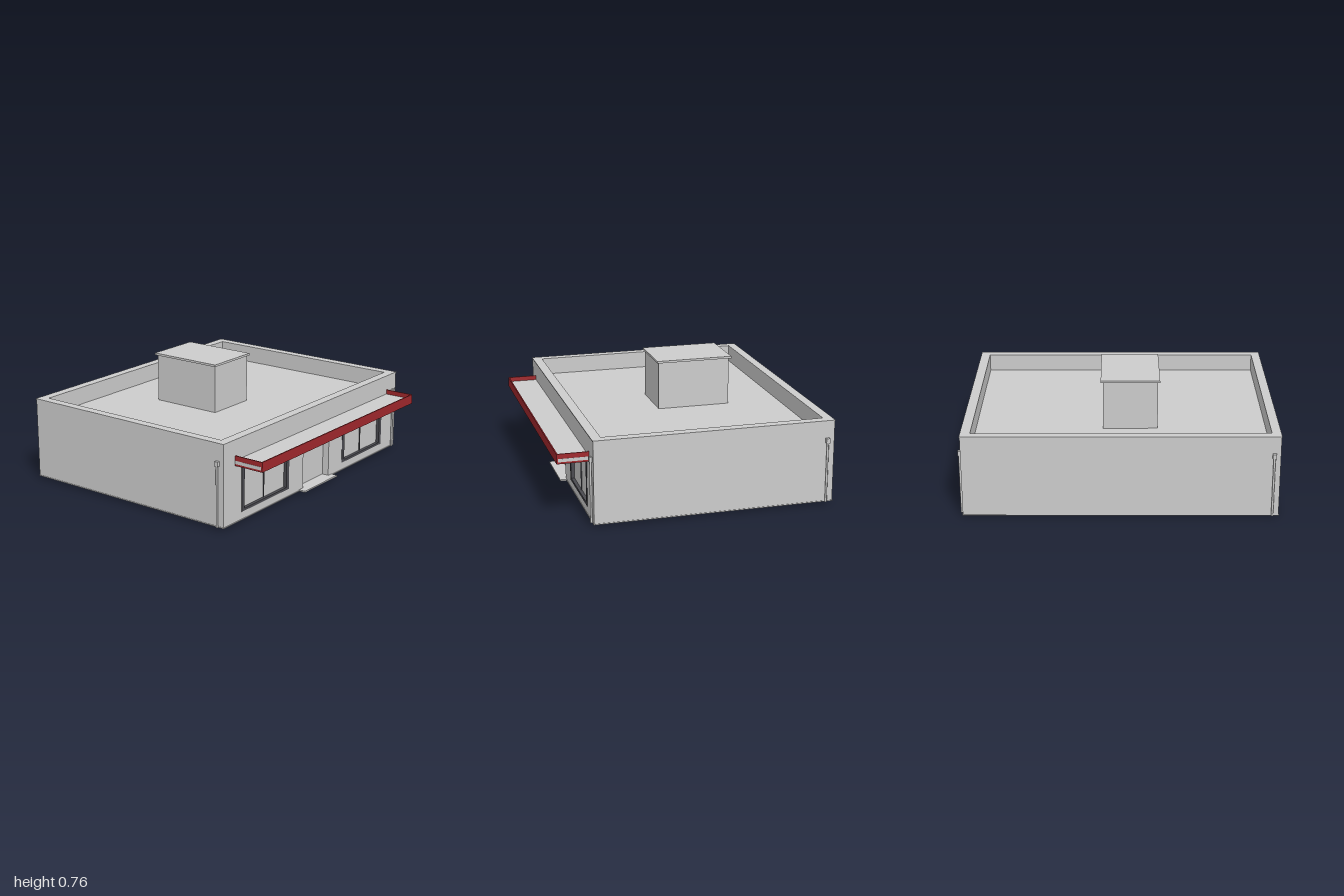
import * as THREE from 'three';

export function createModel() {
  const model = new THREE.Group();
  model.name = 'flatRoofBuilding';

  const mat = (name, color) => {
    const m = new THREE.MeshStandardMaterial({ color });
    m.name = name;
    return m;
  };
  const grey = mat('pale grey', 0xcccccc);
  const red = mat('canopy red', 0xa0282c);
  const dark = mat('frame charcoal', 0x4a4a50);

  const add = (name, geometry, material, parent = model) => {
    const mesh = new THREE.Mesh(geometry, material);
    mesh.name = name;
    parent.add(mesh);
    return mesh;
  };
  // Box given by its limits on each axis
  const box = (name, x0, x1, y0, y1, z0, z1, material = grey, parent = model) => {
    const g = new THREE.BoxGeometry(x1 - x0, y1 - y0, z1 - z0);
    g.translate((x0 + x1) / 2, (y0 + y1) / 2, (z0 + z1) / 2);
    return add(name, g, material, parent);
  };
  const rect = (Type, x0, x1, y0, y1) => new Type([
    new THREE.Vector2(x0, y0), new THREE.Vector2(x1, y0),
    new THREE.Vector2(x1, y1), new THREE.Vector2(x0, y1),
  ]);
  // Flat rectangular plate with rectangular holes, facing +z
  const plate = (outer, holes, depth) => {
    const shape = rect(THREE.Shape, ...outer);
    holes.forEach((h) => shape.holes.push(rect(THREE.Path, ...h)));
    return new THREE.ExtrudeGeometry(shape, { depth, bevelEnabled: false });
  };

  const L = -0.981, R = 0.977, F = 0.672, B = -0.854;   // outer wall faces
  const iL = -0.926, iR = 0.918, iF = 0.613, iB = -0.797; // inner wall faces
  const base = 0.014, wallTop = 0.538, top = 0.544;

  // Plinth, floor and roof deck
  box('plinth', -0.93, 0.925, 0, base, -0.803, 0.622);
  box('floorSlab', L - 0.003, R + 0.003, base, 0.02, B - 0.003, F + 0.003);
  box('roofDeck', iL, iR, 0.41, 0.43, iB, iF);

  // Walls; the front one is pierced for the door and windows
  const windows = [[-0.803, -0.308, 0.067, 0.385], [0.304, 0.799, 0.067, 0.385]];
  const door = [-0.15, 0.145, 0.024, 0.353];
  const front = add('frontWall', plate([L, R, 0.02, wallTop], [...windows, door], F - iF), grey);
  front.position.z = iF;
  box('backWall', L, R, 0.02, wallTop, B, iB);
  box('leftWall', iR, R, 0.02, wallTop, iB, iF);
  box('rightWall', L, iL, 0.02, wallTop, iB, iF);

  // Parapet coping ring
  const coping = plate([L - 0.003, R + 0.003, -F - 0.003, -B + 0.003], [[iL, iR, -iF, -iB]], top - wallTop);
  coping.rotateX(-Math.PI / 2);
  coping.translate(0, wallTop, 0);
  add('parapetCoping', coping, grey);

  // Windows: charcoal frame, two panes and a thin centre bar
  windows.forEach(([x0, x1, y0, y1], i) => {
    const g = new THREE.Group();
    g.name = i ? 'leftWindow' : 'rightWindow';
    model.add(g);
    const frame = add('windowFrame',
      plate([x0, x1, y0, y1], [[x0 + 0.028, x1 - 0.028, y0 + 0.016, y1 - 0.018]], 0.03), dark, g);
    frame.position.z = F - 0.028;
    box('windowPanes', x0 + 0.01, x1 - 0.01, y0 + 0.005, y1 - 0.005, F - 0.03, F - 0.02, grey, g);
    const c = (x0 + x1) / 2;
    box('windowBar', c - 0.003, c + 0.003, y0 + 0.01, y1 - 0.01, F - 0.022, F - 0.014, dark, g);
  });

  // Recessed door and its step
  box('door', door[0], door[1], door[2], door[3], iF, F - 0.045);
  box('doorStep', -0.19, 0.182, base, 0.024, F - 0.04, 0.716);

  // Canopy: slab with a red fascia on three sides
  const canopy = new THREE.Group();
  canopy.name = 'canopy';
  model.add(canopy);
  const cx = 0.868, cz = 0.87, t = 0.008, y0 = 0.379, y1 = 0.442;
  box('canopySlab', -cx - 0.001, cx - 0.001, 0.391, 0.412, F - 0.01, cz - t, grey, canopy);
  box('frontFascia', -cx, cx - 0.002, y0, y1, cz - t, cz, red, canopy);
  [-cx, cx - 0.002 - t].forEach((x) => {
    box('sideFasciaUpper', x, x + t, 0.412, y1, F, cz - t, red, canopy);
    box('sideFasciaLower', x, x + t, y0, 0.391, F, cz - t, red, canopy);
  });

  // Rooftop hut with overhanging lid
  box('roofHut', -0.238, 0.109, 0.43, 0.743, -0.45, 0.031);
  box('roofHutLid', -0.251, 0.123, 0.743, 0.757, -0.464, 0.043);

  // Downpipes with square hoppers, one on each side
  const pipes = [[0.935, 0.68], [0.987, -0.808], [-0.941, -0.861], [-0.99, 0.63]];
  pipes.forEach(([x, z]) => {
    const g = new THREE.Group();
    g.name = 'downpipe';
    model.add(g);
    const pipe = add('pipe', new THREE.CylinderGeometry(0.007, 0.007, 0.39, 12), grey, g);
    pipe.position.set(x, 0.21, z);
    const onSide = Math.abs(x) > 0.96;
    const hx = onSide ? 0.01 : 0.012, hz = onSide ? 0.012 : 0.01;
    box('hopper', x - hx, x + hx, 0.402, 0.432, z - hz, z + hz, grey, g);
  });

  return model;
}
